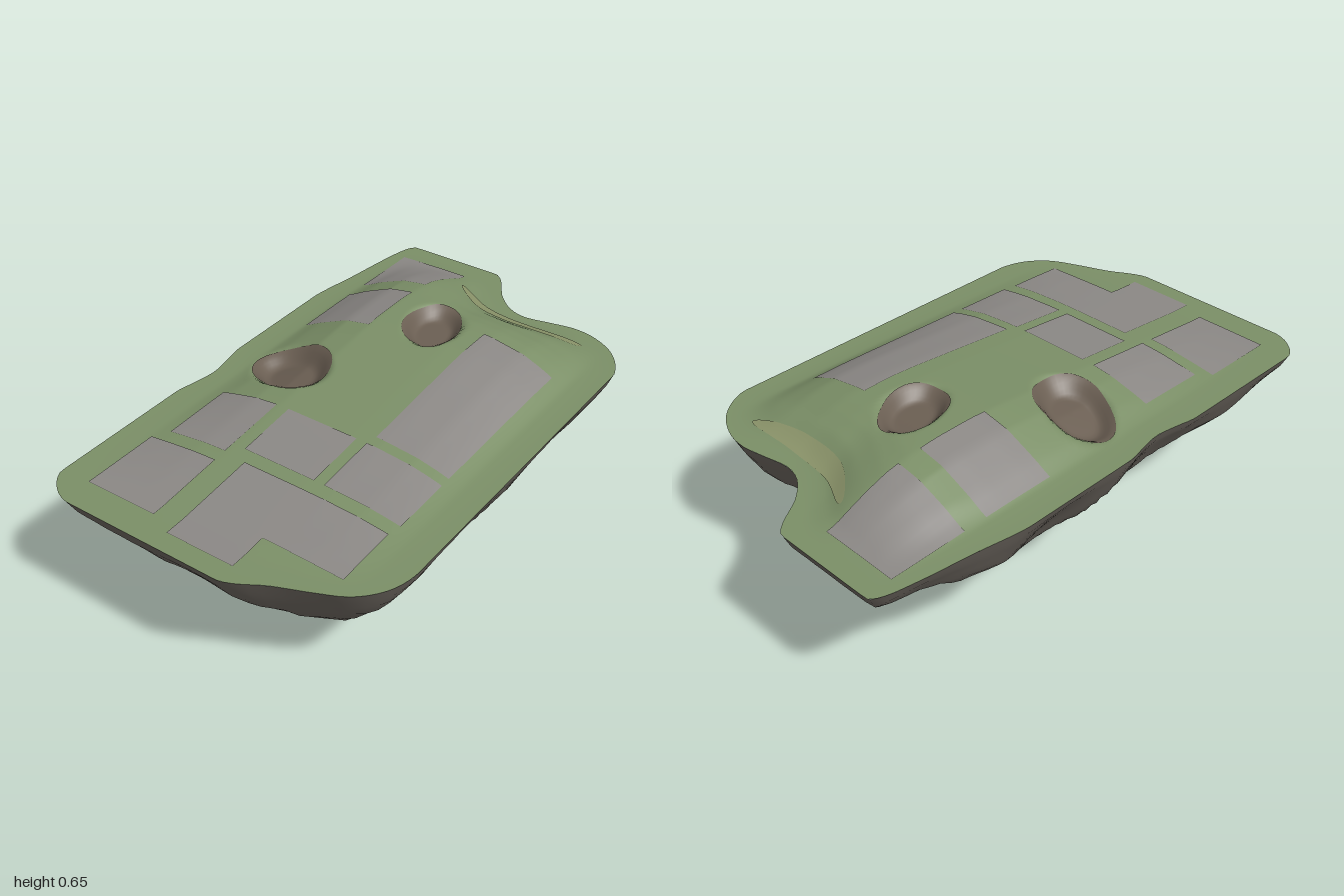
import * as THREE from 'three';

const RIM = 0.54;
const { clamp, lerp, smoothstep } = THREE.MathUtils;

// Island outline as x,z pairs, clockwise from above
const OUTLINE = [
  [-1, -0.48], [-0.97, -0.55], [-0.9, -0.605], [-0.62, -0.605], [-0.35, -0.605], [-0.27, -0.59],
  [-0.18, -0.578], [-0.1, -0.59], [-0.02, -0.605], [0.22, -0.605], [0.45, -0.605], [0.65, -0.575],
  [0.85, -0.548], [0.96, -0.525], [1, -0.5], [1, -0.3], [1, -0.11], [0.86, 0], [0.8, 0.07],
  [0.78, 0.14], [0.8, 0.25], [0.815, 0.34], [0.8, 0.43], [0.74, 0.53], [0.62, 0.6], [0.3, 0.6],
  [-0.3, 0.6], [-0.65, 0.6], [-0.75, 0.57], [-0.83, 0.5], [-0.88, 0.4], [-0.93, 0.28], [-1, 0.14], [-1, -0.2],
];
const curve = new THREE.CatmullRomCurve3(OUTLINE.map(([x, z]) => new THREE.Vector3(x, 0, z)), true, 'centripetal');
const rimPoint = (p) => [clamp(p.x, -1, 1), clamp(p.z, -0.605, 0.6)];
const edge = curve.getSpacedPoints(400).map(rimPoint);
const rimDistance = (x, z) => Math.sqrt(edge.reduce((m, [a, b]) => Math.min(m, (a - x) ** 2 + (b - z) ** 2), 9));

// Piecewise linear profile through [position, value] points
const profile = (pts) => (p) => {
  if (p <= pts[0][0]) return pts[0][1];
  for (let i = 1; i < pts.length; i++) {
    const [a, va] = pts[i - 1], [b, vb] = pts[i];
    if (p <= b) return lerp(va, vb, (p - a) / (b - a));
  }
  return pts[pts.length - 1][1];
};

// Hill profiles along x and z
const hillX = profile([[-1, 0], [-0.85, 0.03], [0.2, 0.94], [0.3, 1], [0.45, 1], [0.58, 0.93], [0.67, 0.79],
  [0.75, 0.56], [0.87, 0.13], [0.95, 0]]);
const hillZ = profile([[-0.6, 0], [-0.5, 0.06], [-0.4, 0.46], [-0.3, 0.84], [-0.2, 1], [0.1, 0.97], [0.2, 0.92],
  [0.33, 0.72], [0.4, 0.48], [0.5, 0.08], [0.6, 0]]);

// Bowl of the underside along x and z, turned into depth fractions
const BOWL = 0.4;
const bowlProfile = (pts) => profile(pts.map(([p, y]) => [p, (RIM - y) / BOWL]));
const bowlX = bowlProfile([[-1, 0.5], [-0.92, 0.4], [-0.8, 0.29], [-0.7, 0.25], [-0.43, 0.26], [-0.02, 0.18],
  [0.2, 0.14], [0.45, 0.18], [0.6, 0.28], [0.7, 0.34], [0.93, 0.42], [1, 0.5]]);
const bowlZ = bowlProfile([[-0.6, 0.5], [-0.55, 0.38], [-0.5, 0.32], [-0.4, 0.24], [-0.33, 0.21], [-0.2, 0.14],
  [0, 0.14], [0.2, 0.18], [0.31, 0.21], [0.4, 0.26], [0.52, 0.36], [0.6, 0.5]]);

// Hanging rock points: x, z, tip height, steepness
const POINTS = [
  [0.26, -0.04, 0, 1.2], [0.24, 0.03, 0.02, 1.5], [0.22, -0.18, 0.005, 1.4], [-0.1, 0.17, 0.1, 1],
  [-0.1, -0.05, 0.12, 1], [-0.58, -0.08, 0.165, 0.8], [-0.65, 0.1, 0.22, 0.7], [0.4, -0.05, 0.105, 1.2],
  [0.4, -0.3, 0.22, 1], [0.82, -0.28, 0.325, 1], [-0.32, 0.22, 0.185, 0.8], [-0.3, -0.08, 0.16, 0.8],
  [0.02, 0.32, 0.21, 0.8], [0.1, -0.4, 0.225, 0.9],
];

const CRATERS = [
  { x: -0.06, z: -0.32, rx: 0.14, rz: 0.18, turn: -0.3, depth: 0.06 },
  { x: 0.38, z: -0.015, rx: 0.16, rz: 0.115, turn: 0.3, depth: 0.05 },
];

// Point of a crater's uneven ellipse at a given angle and radius fraction
function craterPoint(c, angle, r) {
  const k = r * (1 + 0.05 * Math.sin(3 * angle + 1));
  const a = Math.cos(angle) * c.rx * k, b = Math.sin(angle) * c.rz * k;
  const cs = Math.cos(c.turn), sn = Math.sin(c.turn);
  return [c.x + a * cs + b * sn, c.z - a * sn + b * cs];
}

// The hill ends sooner above the bay on the front right
function topHeight(x, z) {
  const shift = 0.13 * smoothstep(z, -0.25, 0.05) * smoothstep(x, 0.3, 0.6);
  let y = RIM + 0.12 * hillX(x + shift) * hillZ(z) * smoothstep(rimDistance(x, z), 0, 0.18);
  for (const c of CRATERS) {
    const dx = x - c.x, dz = z - c.z, cs = Math.cos(c.turn), sn = Math.sin(c.turn);
    const r = Math.hypot((dx * cs - dz * sn) / c.rx, (dx * sn + dz * cs) / c.rz);
    y -= c.depth * (1 - smoothstep(r, 0.5, 1));
  }
  return y;
}

// Bowl with crags, pierced by the rock points and tapered to the rim
function bottomHeight(x, z) {
  const f = bowlX(x), g = bowlZ(z);
  const crag = 1 - 0.14 * Math.abs(Math.sin(8 * x + 3 * Math.sin(5 * z))) * Math.abs(Math.cos(7 * z + 2 * Math.sin(4 * x)));
  let depth = BOWL * f * g / Math.sqrt(Math.max(f, g)) * crag;
  for (const [px, pz, y, steep] of POINTS) {
    const dx = x - px, dz = z - pz;
    const ridge = 1 + 0.15 * Math.sin(4 * Math.atan2(dz, dx) + 9 * px);
    depth = Math.max(depth, RIM - y - steep * ridge * Math.hypot(dx, dz));
  }
  const taper = 1.75 + 0.3 * Math.sin(11 * x + 2) * Math.cos(12 * z);
  return RIM - Math.min(depth, 0.01 + taper * rimDistance(x, z));
}

// Grid surface from a rule (u, v) -> [x, y, z]; it may close along u
function sheet(name, color, nu, nv, rule, { closed = false, flip = false } = {}) {
  const pos = [], index = [], cols = closed ? nu : nu + 1;
  for (let j = 0; j <= nv; j++) for (let i = 0; i < cols; i++) pos.push(...rule(i / nu, j / nv));
  for (let j = 0; j < nv; j++) {
    for (let i = 0; i < nu; i++) {
      const k = (i + 1) % cols;
      const a = j * cols + i, b = j * cols + k, c = a + cols, d = (j + 1) * cols + k;
      index.push(...(flip ? [a, b, c, b, d, c] : [a, c, b, b, c, d]));
    }
  }
  const geo = new THREE.BufferGeometry();
  geo.setAttribute('position', new THREE.Float32BufferAttribute(pos, 3));
  geo.setIndex(index);
  geo.computeVertexNormals();
  const mesh = new THREE.Mesh(geo, new THREE.MeshStandardMaterial({ color }));
  mesh.name = name;
  return mesh;
}

// Thin cover laid just above the terrain
const cover = (name, color, nu, nv, plan, options) => sheet(name, color, nu, nv, (u, v) => {
  const [x, z] = plan(u, v);
  return [x, topHeight(x, z) + 0.003, z];
}, options);

export function createModel() {
  const island = new THREE.Group();
  island.name = 'floatingIsland';

  // Grass top and craggy rock underside, meeting at the rim
  const spoke = (u, t) => rimPoint(curve.getPointAt(u)).map((p) => p * t);
  island.add(sheet('grassTop', 0x7b8f67, 220, 56, (u, v) => {
    const [x, z] = spoke(u, 1 - v);
    return [x, v === 0 ? RIM : topHeight(x, z), z];
  }, { closed: true }));
  island.add(sheet('rockUnderside', 0x6a645d, 150, 36, (u, v) => {
    const [x, z] = spoke(u, 1 - v);
    return [x, v === 0 ? RIM : bottomHeight(x, z), z];
  }, { closed: true, flip: true }));

  // Paved plots: x0, z0, x1, z1
  const plots = [
    [-0.89, -0.49, -0.6, -0.21], [-0.55, -0.45, -0.28, -0.21], [0.24, -0.49, 0.52, -0.2],
    [0.61, -0.49, 0.9, -0.2], [-0.93, -0.12, -0.56, 0.14], [-0.79, 0.14, -0.56, 0.44],
    [-0.51, -0.16, -0.28, 0.12], [-0.51, 0.16, -0.28, 0.45], [-0.24, 0.17, 0.43, 0.45],
  ];
  for (const [x0, z0, x1, z1] of plots) {
    island.add(cover('pavedPlot', 0x8b8885, Math.ceil((x1 - x0) * 40), Math.ceil((z1 - z0) * 40),
      (u, v) => [lerp(x0, x1, u), lerp(z0, z1, v)]));
  }

  // Bare earth in the craters
  for (const c of CRATERS) {
    island.add(cover('craterFloor', 0x6b5f53, 40, 12,
      (u, v) => craterPoint(c, u * Math.PI * 2, 0.92 * (1 - v)), { closed: true }));
  }

  // Dry grass strip along the right-hand slope
  const path = new THREE.SplineCurve([[0.8, -0.15], [0.71, 0], [0.69, 0.2], [0.71, 0.42]]
    .map(([x, z]) => new THREE.Vector2(x, z)));
  island.add(cover('dryGrass', 0x8b946a, 6, 30, (u, v) => {
    const p = path.getPoint(v);
    return [p.x + (u - 0.5) * 0.07 * Math.sqrt(Math.sin(Math.PI * v) + 0.01), p.y];
  }));

  return island;
}
